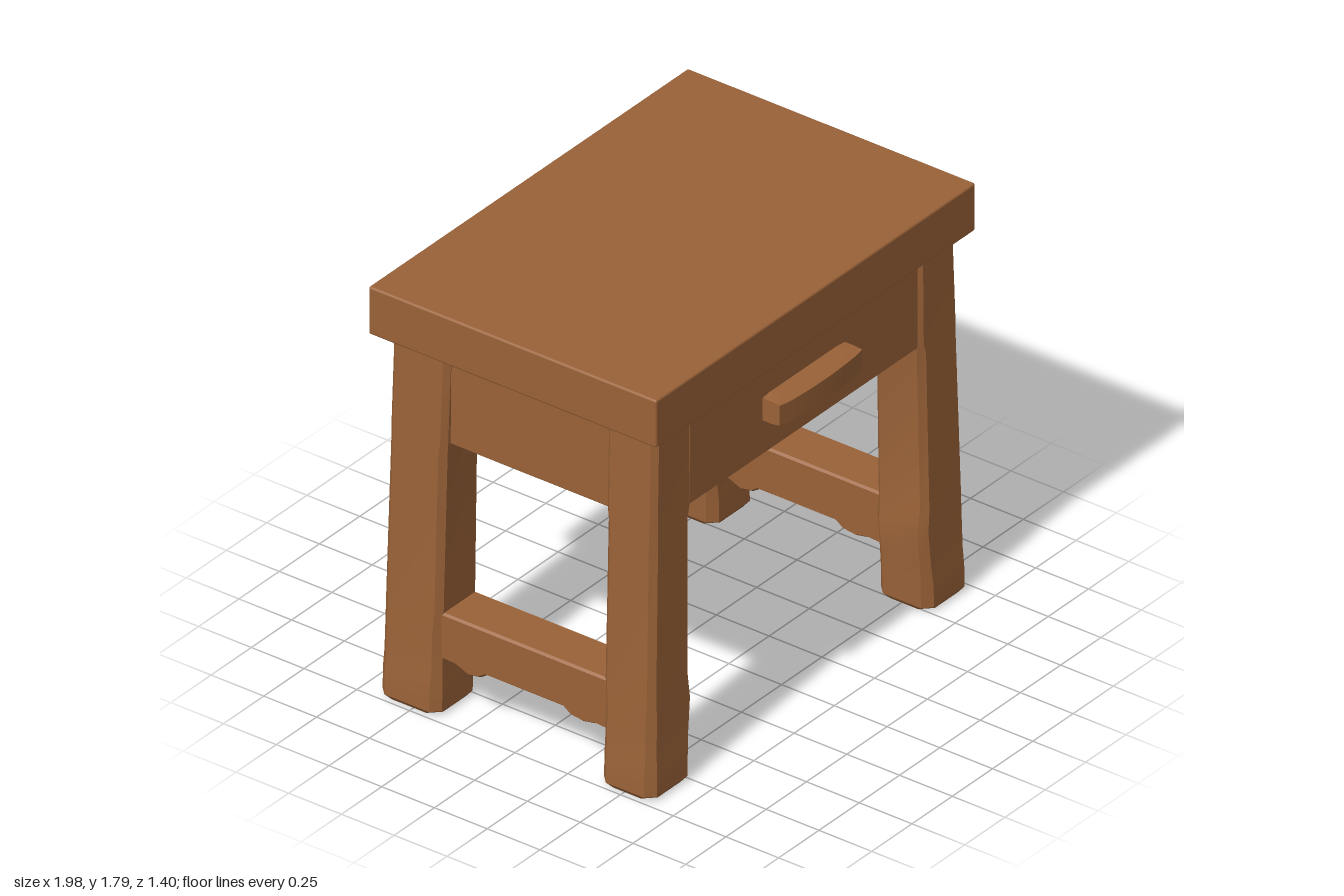
import * as THREE from 'three';
import { toCreasedNormals } from 'three/addons/utils/BufferGeometryUtils.js';
import { RoundedBoxGeometry } from 'three/addons/geometries/RoundedBoxGeometry.js';

const wood = new THREE.MeshStandardMaterial({ color: 0x9a6238 });

function add(parent, name, geometry, x = 0, y = 0, z = 0) {
  const mesh = new THREE.Mesh(geometry, wood);
  mesh.name = name;
  mesh.position.set(x, y, z);
  parent.add(mesh);
  return mesh;
}

// Box given by its limits, with softly rounded edges
function block(parent, name, [x0, x1], [y0, y1], [z0, z1], r) {
  const g = new RoundedBoxGeometry(x1 - x0, y1 - y0, z1 - z0, 2, r);
  return add(parent, name, g, (x0 + x1) / 2, (y0 + y1) / 2, (z0 + z1) / 2);
}

// Loft through chamfered rectangles: sections of [y, x0, x1, z0, z1, chamfer]
function loft(sections) {
  const pos = [], idx = [], n = 8;
  for (const [y, x0, x1, z0, z1, c] of sections) {
    const ring = [
      [x1, z0 + c], [x1, z1 - c], [x1 - c, z1], [x0 + c, z1],
      [x0, z1 - c], [x0, z0 + c], [x0 + c, z0], [x1 - c, z0],
    ];
    for (const [x, z] of ring) pos.push(x, y, z);
  }
  const last = (sections.length - 1) * n;
  for (let s = 0; s < last; s += n) {
    for (let i = 0; i < n; i++) {
      const a = s + i, b = s + (i + 1) % n;
      idx.push(a, a + n, b, b, a + n, b + n);
    }
  }
  for (let i = 1; i < n - 1; i++) {
    idx.push(0, i, i + 1, last, last + i + 1, last + i);
  }
  const g = new THREE.BufferGeometry();
  g.setAttribute('position', new THREE.Float32BufferAttribute(pos, 3));
  g.setIndex(idx);
  return toCreasedNormals(g, 0.5);
}

// Splayed leg with a slight swelling near the foot
function leg(sx, front) {
  // y, inner x, outer x, inner z, outer z, chamfer
  const rows = [
    [0.005, 0.745, 0.975, 0.395, 0.635, 0.045],
    [0.025, 0.73, 0.99, 0.38, 0.65, 0.035],
    [0.12, 0.728, 0.988, 0.38, 0.65, 0.035],
    [0.2, 0.725, 0.98, 0.382, 0.645, 0.03],
    [0.36, 0.71, 0.975, 0.382, 0.643, 0.03],
    [0.46, 0.725, 0.97, 0.38, 0.64, 0.025],
    [1.15, 0.715, 0.948, 0.378, 0.632, 0.025],
    [1.2, 0.705, 0.946, 0.374, 0.631, 0.022],
    [1.6, 0.705, 0.932, 0.37, 0.627, 0.022],
  ];
  const shift = front ? 0.008 : -0.012;
  return loft(rows.map(([y, xi, xo, zi, zo, c]) => {
    const xs = sx > 0 ? [xi, xo] : [-xo, -xi];
    const zs = front ? [zi + shift, zo - 0.012] : [-zo + shift, -zi];
    return [y, ...xs, ...zs, c];
  }));
}

// Side rail with a scalloped lower edge, profile in z and y
function rail() {
  const profile = [
    [0.42, 0.235], [0.34, 0.24], [0.28, 0.228], [0.225, 0.235], [0.19, 0.26],
    [-0.18, 0.26], [-0.21, 0.24], [-0.26, 0.23], [-0.32, 0.255], [-0.42, 0.26],
    [-0.42, 0.445], [0.42, 0.445],
  ].map(([z, y]) => new THREE.Vector2(z, y));
  const g = new THREE.ExtrudeGeometry(new THREE.Shape(profile), {
    depth: 0.19, bevelEnabled: true, bevelThickness: 0.01, bevelSize: 0.008, bevelSegments: 1,
  });
  g.translate(0, 0, -0.095);
  g.rotateY(-Math.PI / 2);
  return toCreasedNormals(g, 0.5);
}

// Drawer pull, bowed forward with a sloped upper front
function pull() {
  const g = new THREE.BoxGeometry(0.51, 0.11, 0.1, 12, 3, 2);
  const p = g.attributes.position;
  for (let i = 0; i < p.count; i++) {
    const t = Math.abs(p.getX(i)) / 0.255;
    if (p.getZ(i) > 0.04) {
      p.setZ(i, 0.05 - 0.015 * t * t);
      if (p.getY(i) > 0.05) p.setY(i, t > 0.9 ? 0.05 : 0.04);
      if (p.getY(i) < -0.05) p.setY(i, -0.048);
    }
    if (t > 0.99) p.setY(i, p.getY(i) * 0.9);
  }
  g.deleteAttribute('normal');
  g.deleteAttribute('uv');
  g.computeVertexNormals();
  return toCreasedNormals(g, 0.5);
}

export function createModel() {
  const table = new THREE.Group();
  table.name = 'sideTable';

  block(table, 'tableTop', [-0.992, 0.992], [1.59, 1.8], [-0.702, 0.663], 0.01);

  // Closed case under the top, with the drawer front between the front legs
  block(table, 'apronCase', [-0.91, 0.91], [1.185, 1.6], [-0.615, 0.59], 0.006);
  block(table, 'drawerFront', [-0.71, 0.71], [1.185, 1.592], [0.5, 0.605], 0.006);
  add(table, 'drawerPull', pull(), 0, 1.385, 0.651);

  for (const sx of [1, -1]) {
    const side = sx > 0 ? 'Left' : 'Right';
    add(table, 'front' + side + 'Leg', leg(sx, true));
    add(table, 'back' + side + 'Leg', leg(sx, false));
    add(table, 'rail' + side, rail(), sx * 0.845, 0, 0);
  }
  return table;
}
